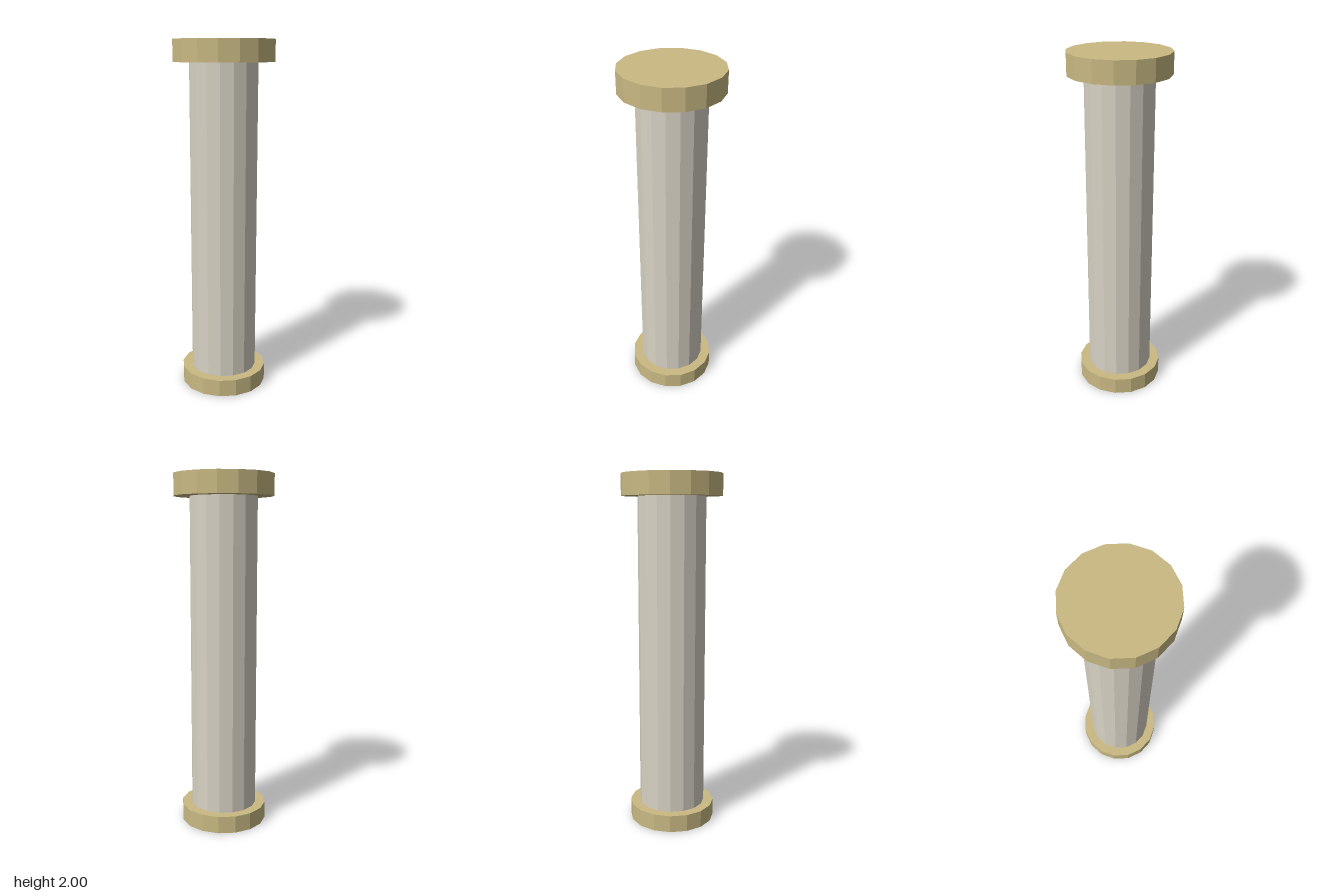
import * as THREE from 'three';

export function createModel() {
  const group = new THREE.Group();
  const stone = new THREE.MeshStandardMaterial({ color: 0xd8d2c4, flatShading: true });
  const gold = new THREE.MeshStandardMaterial({ color: 0xc9b983, flatShading: true });

  // Sixteen-sided drum standing between two heights
  function drum(name, radius, bottom, top, material) {
    const mesh = new THREE.Mesh(
      new THREE.CylinderGeometry(radius, radius, top - bottom, 16), material);
    mesh.name = name;
    mesh.position.y = (bottom + top) / 2;
    group.add(mesh);
  }

  drum('base', 0.247, 0, 0.098, gold);
  drum('shaft', 0.19, 0.098, 1.88, stone);
  drum('capital', 0.281, 1.88, 2, gold);
  return group;
}
